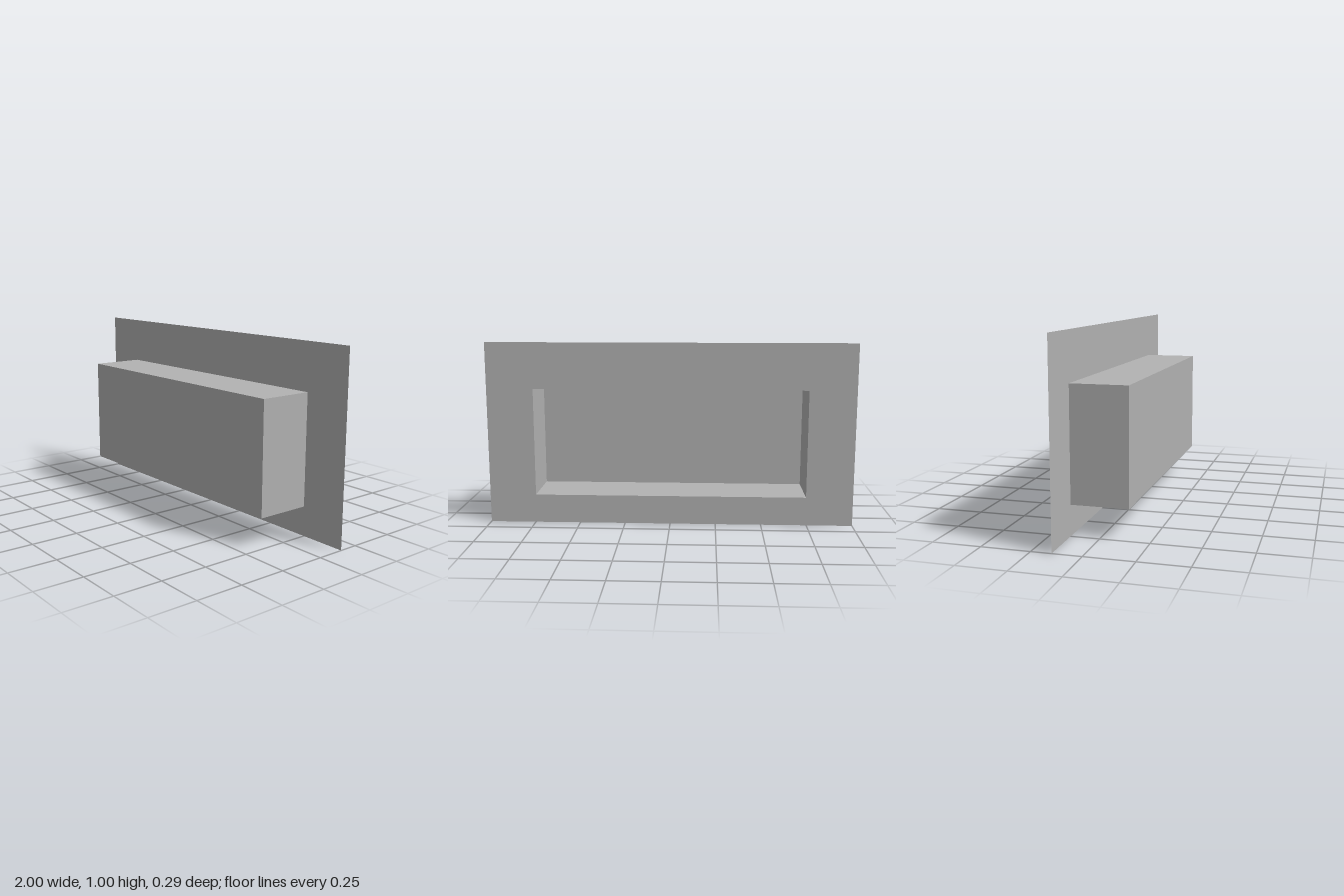
import * as THREE from 'three';

export function createModel() {
  const group = new THREE.Group();
  const grey = new THREE.MeshStandardMaterial({ color: 0xb2b2b2, side: THREE.DoubleSide });
  grey.name = 'plain grey';

  const halfWidth = 0.745, bottom = 0.157, top = 0.747, halfDepth = 0.147;

  // Flat flange: a thin sheet with a rectangular opening
  const sheet = new THREE.Shape([[-1, 0], [1, 0], [1, 1], [-1, 1]].map(p => new THREE.Vector2(...p)));
  sheet.holes.push(new THREE.Path([
    [-halfWidth, bottom], [-halfWidth, top], [halfWidth, top], [halfWidth, bottom],
  ].map(p => new THREE.Vector2(...p))));
  const flange = new THREE.Mesh(new THREE.ShapeGeometry(sheet), grey);
  flange.name = 'flange';
  flange.position.z = -halfDepth;
  group.add(flange);

  // Hollow box: the last side (the back) is dropped so that it opens through the flange
  const boxGeometry = new THREE.BoxGeometry(2 * halfWidth, top - bottom, 2 * halfDepth);
  boxGeometry.setIndex(Array.from(boxGeometry.index.array).slice(0, 30));
  boxGeometry.clearGroups();
  const box = new THREE.Mesh(boxGeometry, grey);
  box.name = 'hollowBox';
  box.position.y = (top + bottom) / 2;
  group.add(box);

  return group;
}
